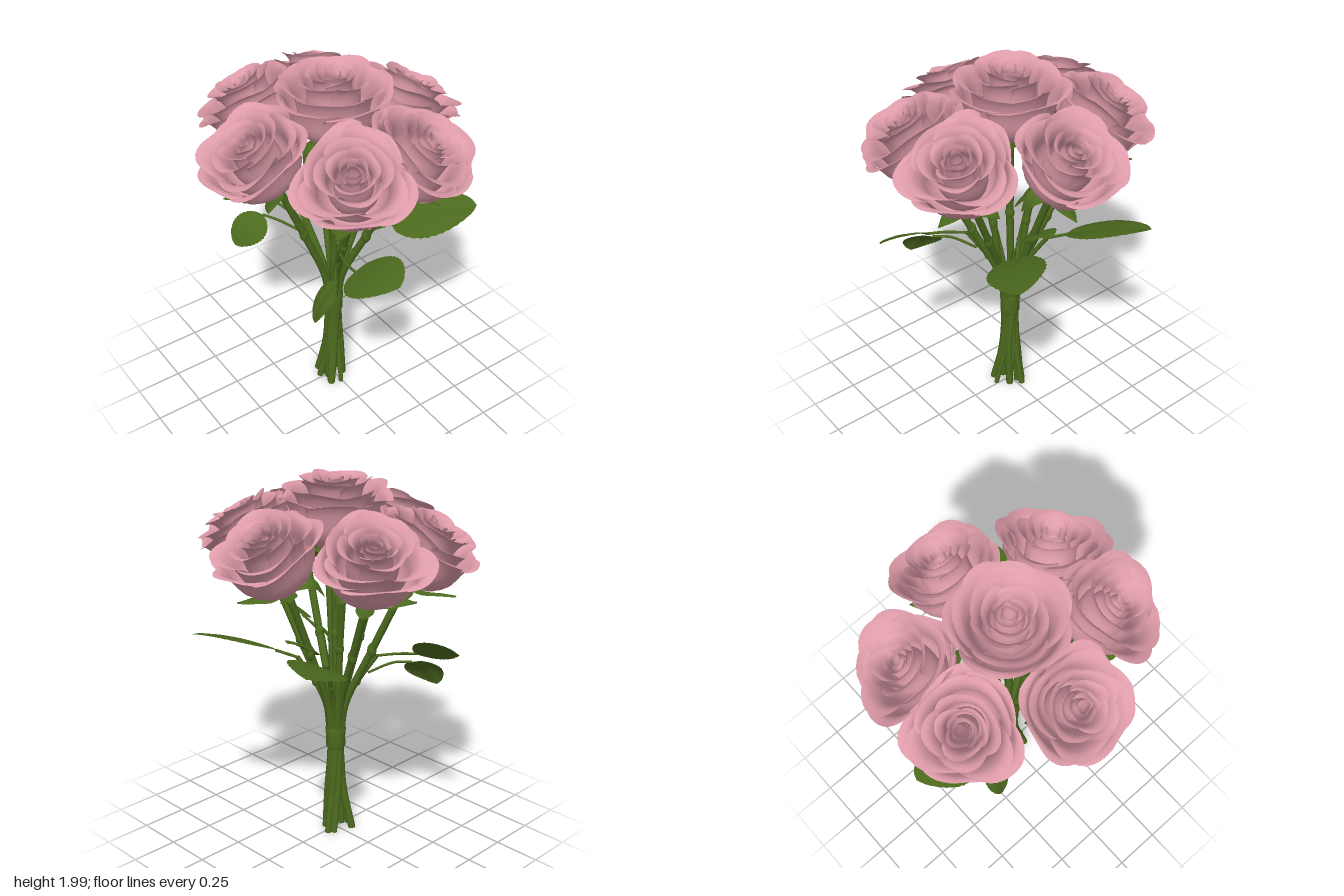
import * as THREE from 'three';
import { mergeGeometries } from 'three/addons/utils/BufferGeometryUtils.js';

const V = (x, y, z) => new THREE.Vector3(x, y, z);
const mat = (name, color) => new THREE.MeshStandardMaterial({ name, color, side: THREE.DoubleSide });

// Sheet of (nu x nv) cells from a rule fn(u, v), u in -1..1, v in 0..1
function sheet(nu, nv, fn) {
  const pos = [], index = [];
  for (let j = 0; j <= nv; j++) {
    for (let i = 0; i <= nu; i++) {
      const p = fn((i / nu) * 2 - 1, j / nv);
      pos.push(p.x, p.y, p.z);
      if (i < nu && j < nv) {
        const a = j * (nu + 1) + i, b = a + nu + 1;
        index.push(a, a + 1, b, a + 1, b + 1, b);
      }
    }
  }
  const g = new THREE.BufferGeometry();
  g.setAttribute('position', new THREE.Float32BufferAttribute(pos, 3));
  g.setIndex(index);
  g.computeVertexNormals();
  return g;
}

const profile = (pts) => new THREE.CatmullRomCurve3(pts.map(([r, h]) => V(r, h, 0)));

// One cupped petal following a radius/height profile around the flower axis
function petal(curve, angle, half, curl, k, outline) {
  return sheet(14, 12, (u, v) => {
    const e = Math.abs(u);
    const p = curve.getPoint(v * (1 - 0.13 * e ** 4));
    const a = angle + u * half * (0.85 + 0.15 * Math.sin(v * Math.PI));
    const wave = 0.006 * Math.sin(u * 4 + k * 2.3) * v * v;
    const r = p.x * (1 + 0.04 * u * v) * (1 + outline(a) * v * v) + wave + curl * v ** 5 * (1 - e);
    const h = p.y + wave + 0.014 * (1 - 2 * e) * v ** 4 * Math.cos(k * 1.7);
    return V(r * Math.cos(a), h, r * Math.sin(a));
  });
}

// Rings of petals, from the wide outer ring to the tight heart.
// The two outer rings are pressed into a lobed outline by the neighbouring flowers.
function roseGeometry(lobes, amount) {
  const rings = [
    [5, 0.86, 0.015, [[0.015, 0], [0.12, 0.025], [0.195, 0.1], [0.22, 0.19], [0.243, 0.25], [0.27, 0.26]]],
    [4, 1.02, 0.012, [[0.015, 0.01], [0.11, 0.05], [0.165, 0.14], [0.178, 0.22], [0.205, 0.285], [0.238, 0.305]]],
    [4, 1.02, 0.008, [[0.015, 0.02], [0.095, 0.07], [0.125, 0.17], [0.125, 0.26], [0.145, 0.32], [0.172, 0.343]]],
    [3, 1.3, 0.005, [[0.015, 0.05], [0.08, 0.12], [0.095, 0.21], [0.088, 0.28], [0.1, 0.33], [0.12, 0.35]]],
    [3, 1.3, 0.0, [[0.01, 0.1], [0.055, 0.17], [0.068, 0.25], [0.06, 0.31], [0.074, 0.345]]],
    [2, 1.8, 0.0, [[0.01, 0.15], [0.03, 0.23], [0.038, 0.28], [0.032, 0.32], [0.036, 0.34]]],
  ];
  const parts = [];
  rings.forEach(([n, half, curl, pts], ring) => {
    const curve = profile(pts);
    const outline = (a) => (ring < 2 ? -amount * Math.cos(lobes * a) : 0);
    for (let i = 0; i < n; i++) {
      parts.push(petal(curve, (i / n) * Math.PI * 2 + ring * 0.63, half, curl, i + ring * 3, outline));
    }
  });
  return mergeGeometries(parts);
}

// Green hip and five sepals, some hugging the cup and some drooping
function calyxGeometry() {
  const hip = new THREE.LatheGeometry(
    [[0.019, -0.05], [0.034, -0.035], [0.04, -0.01], [0.06, 0.012]].map(([r, h]) => new THREE.Vector2(r, h)), 12);
  hip.deleteAttribute('uv');
  const level = profile([[0.025, -0.01], [0.1, 0.005], [0.18, 0.05], [0.25, 0.085]]);
  const droop = profile([[0.025, -0.01], [0.09, 0.005], [0.15, -0.015], [0.17, -0.11]]);
  const parts = [hip];
  for (let i = 0; i < 5; i++) {
    const a = (i / 5) * Math.PI * 2 + 0.3;
    parts.push(sheet(4, 8, (u, v) => {
      const p = (i % 2 ? droop : level).getPoint(v);
      const w = u * 0.046 * Math.sin(Math.PI * (0.2 + 0.8 * v));
      return V(p.x * Math.cos(a) - w * Math.sin(a), p.y - 0.012 * u * u, p.x * Math.sin(a) + w * Math.cos(a));
    }));
  }
  return mergeGeometries(parts);
}

// Oval leaf from base to tip, folded along its midrib, with a finely toothed edge
function leafGeometry(base, tip, widthVec) {
  const along = tip.clone().sub(base);
  const normal = along.clone().cross(widthVec).normalize();
  if (normal.y < 0) normal.negate();
  return sheet(8, 24, (u, v) => {
    const teeth = Math.abs(u) === 1 && v > 0.1 && v < 0.95 ? 1 + 0.02 * Math.cos(v * 24 * Math.PI) : 1;
    const w = u * teeth * Math.sin(Math.PI * v ** 0.85) ** 0.62;
    const lift = 0.02 * Math.sin(Math.PI * v) + 0.02 * Math.abs(w) - 0.025 * w * w;
    return base.clone().addScaledVector(along, v).addScaledVector(widthVec, w).addScaledVector(normal, lift);
  });
}

export function createModel() {
  const root = new THREE.Group();
  const pink = mat('petalPink', 0xdd9ba8);
  const green = mat('leafGreen', 0x4c6a1e);

  const add = (name, geo, material, parent = root) => {
    const m = new THREE.Mesh(geo, material);
    m.name = name;
    parent.add(m);
    return m;
  };
  const tube = (name, pts, r, seg = 28) =>
    add(name, new THREE.TubeGeometry(new THREE.CatmullRomCurve3(pts), seg, r, 8), green);

  // Cut stem: packed upright through the tie, fanning out gently at the foot
  let count = 0;
  function stem(end, radius) {
    const a = count++ * 2.4, len = Math.hypot(end.x, end.z);
    const dir = len > 0 ? Math.atan2(end.z, end.x) : 0;
    const at = (s, y, turn = 0) => V(Math.cos(dir + turn) * s, y, Math.sin(dir + turn) * s);
    const low = at(0.068, 0.012, 1).add(V(0.024 * Math.cos(a), 0, 0.024 * Math.sin(a)));
    const pts = [low, at(0.042, 0.25, 0.8), at(0.03, 0.42, 0.5), at(0.033, 0.6),
      at(Math.min(0.055, len), 0.76), at(len * 0.55, 0.76 + (end.y - 0.76) * 0.48), end];
    tube('stem', pts, radius);
    add('stemFoot', new THREE.CircleGeometry(radius, 8).rotateX(Math.PI / 2), green).position.copy(low);
    // Swollen node
    const node = add('stemNode', new THREE.SphereGeometry(radius * 1.25, 8, 6), green);
    node.position.copy(pts[5]);
    node.scale.y = 1.6;
  }

  // Roses: petals, base point, lean direction (angle in x-z), tilt, scale
  const round = roseGeometry(1, 0), squarish = roseGeometry(4, 0.06), threeLobed = roseGeometry(3, 0.11);
  const calyxGeo = calyxGeometry();
  const roses = [[round, V(0, 1.62, 0), 0, 0, 1.04]];
  for (const s of [1, -1]) {
    roses.push([squarish, V(0, 1.49, 0.35 * s), (Math.PI / 2) * s, 0.5, 0.98]);
    for (const t of [1, -1]) {
      roses.push([threeLobed, V(0.365 * s, 1.49, 0.14 * t), Math.atan2(0.6 * t, 0.8 * s), 0.5, 0.98]);
    }
  }
  for (const [petals, base, lean, tilt, scale] of roses) {
    const rose = new THREE.Group();
    rose.name = 'rose';
    add('petals', petals, pink, rose);
    add('calyx', calyxGeo, green, rose);
    const axis = V(Math.cos(lean) * Math.sin(tilt), Math.cos(tilt), Math.sin(lean) * Math.sin(tilt));
    rose.quaternion.setFromUnitVectors(V(0, 1, 0), axis);
    rose.quaternion.multiply(new THREE.Quaternion().setFromAxisAngle(V(0, 1, 0), -lean));
    rose.position.copy(base);
    rose.scale.setScalar(scale);
    root.add(rose);
    stem(base.clone().addScaledVector(axis, -0.035), 0.02);
  }

  // Leaves and their stalks, mirrored left and right
  for (const s of [1, -1]) {
    const leaf = (name, b, t, w) =>
      add(name, leafGeometry(V(b[0] * s, b[1], b[2]), V(t[0] * s, t[1], t[2]), V(w[0] * s, w[1], w[2])), green);
    leaf('sideLeaf', [0.41, 1.11, 0.16], [0.715, 1.205, 0.12], [0.02, 0.083, -0.12]);
    leaf('lowerLeaf', [0.34, 1.03, 0.22], [0.38, 0.87, 0.38], [0.09, 0.03, 0.025]);
    leaf('backLeaf', [0.17, 1.08, -0.25], [0.42, 1.2, -0.61], [0.12, -0.04, 0.08]);

    stem(V(0.2 * s, 1.06, 0.1), 0.013);
    stem(V(0.11 * s, 1.04, -0.17), 0.013);
    // Bare inner stems rising under the flowers
    stem(V(0.135 * s, 1.47, 0.08 * s), 0.018);
    tube('sideStalk', [V(0.2 * s, 1.06, 0.1), V(0.31 * s, 1.09, 0.14), V(0.42 * s, 1.115, 0.16)], 0.007, 8);
    tube('lowerStalk', [V(0.16 * s, 0.96, 0.08), V(0.26 * s, 1.02, 0.17), V(0.34 * s, 1.03, 0.22)], 0.007, 8);
    tube('backStalk', [V(0.11 * s, 1.04, -0.17), V(0.14 * s, 1.06, -0.21), V(0.18 * s, 1.085, -0.26)], 0.008, 6);
  }
  add('middleLeaf', leafGeometry(V(0, 1.08, -0.16), V(0, 1.19, -0.34), V(0.095, 0, 0)), green);

  // Tie holding the bunch together
  add('tie', new THREE.LatheGeometry(
    [[0.046, 0.5], [0.053, 0.515], [0.052, 0.57], [0.056, 0.615], [0.048, 0.63]]
      .map(([r, h]) => new THREE.Vector2(r, h)), 16), green);
  return root;
}
